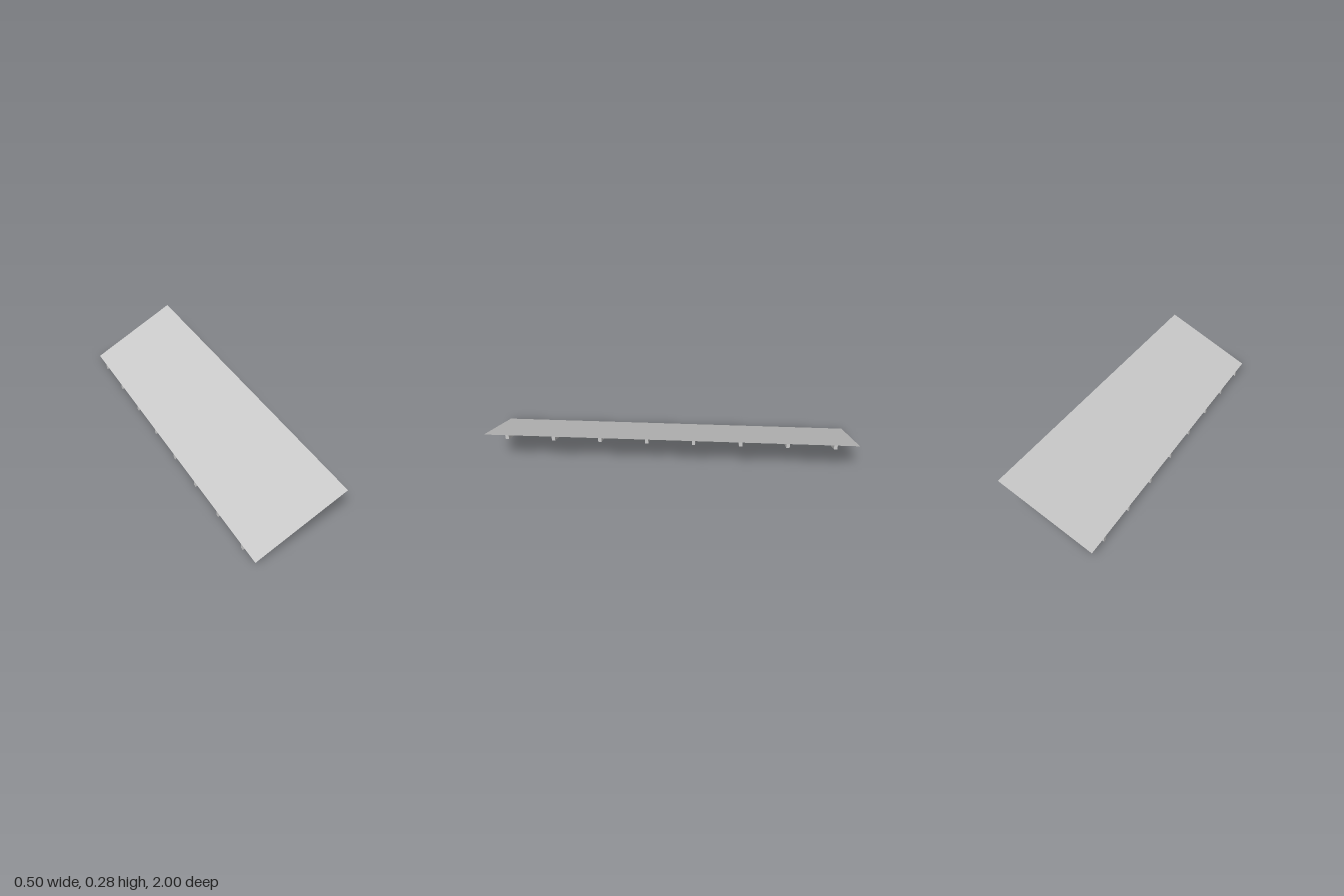
import * as THREE from 'three';

const HALF_RUN = 0.25;  // half the horizontal run in x
const RISE = 0.25;      // height gained across the run
const DEPTH = 0.025;    // vertical depth of a rafter
const LENGTH = 2;
const RAFTER_WIDTH = 0.018;
const RAFTER_COUNT = 8;

export function createModel() {
  const group = new THREE.Group();
  group.name = 'leanToRoof';
  const material = new THREE.MeshStandardMaterial({ color: 0xcccccc, flatShading: true });
  const sheetMaterial = material.clone();
  sheetMaterial.side = THREE.DoubleSide;

  // Thin sloping sheet, rising towards +x
  const sheetGeometry = new THREE.PlaneGeometry(2 * HALF_RUN, LENGTH);
  sheetGeometry.rotateX(-Math.PI / 2);
  const pos = sheetGeometry.attributes.position;
  for (let i = 0; i < pos.count; i++) {
    pos.setY(i, DEPTH + RISE * (pos.getX(i) + HALF_RUN) / (2 * HALF_RUN));
  }
  sheetGeometry.computeVertexNormals();
  const sheet = new THREE.Mesh(sheetGeometry, sheetMaterial);
  sheet.name = 'roofSheet';
  group.add(sheet);

  // Rafters under the sheet, cut plumb at both ends
  const profile = new THREE.Shape([
    new THREE.Vector2(-HALF_RUN, 0),
    new THREE.Vector2(HALF_RUN, RISE),
    new THREE.Vector2(HALF_RUN, RISE + DEPTH),
    new THREE.Vector2(-HALF_RUN, DEPTH),
  ]);
  const rafterGeometry = new THREE.ExtrudeGeometry(profile, { depth: RAFTER_WIDTH, bevelEnabled: false });
  rafterGeometry.translate(0, 0, -RAFTER_WIDTH / 2);
  const spacing = LENGTH / RAFTER_COUNT;
  for (let i = 0; i < RAFTER_COUNT; i++) {
    const rafter = new THREE.Mesh(rafterGeometry, material);
    rafter.name = `rafter${i + 1}`;
    rafter.position.z = (i - (RAFTER_COUNT - 1) / 2) * spacing;
    group.add(rafter);
  }
  return group;
}
